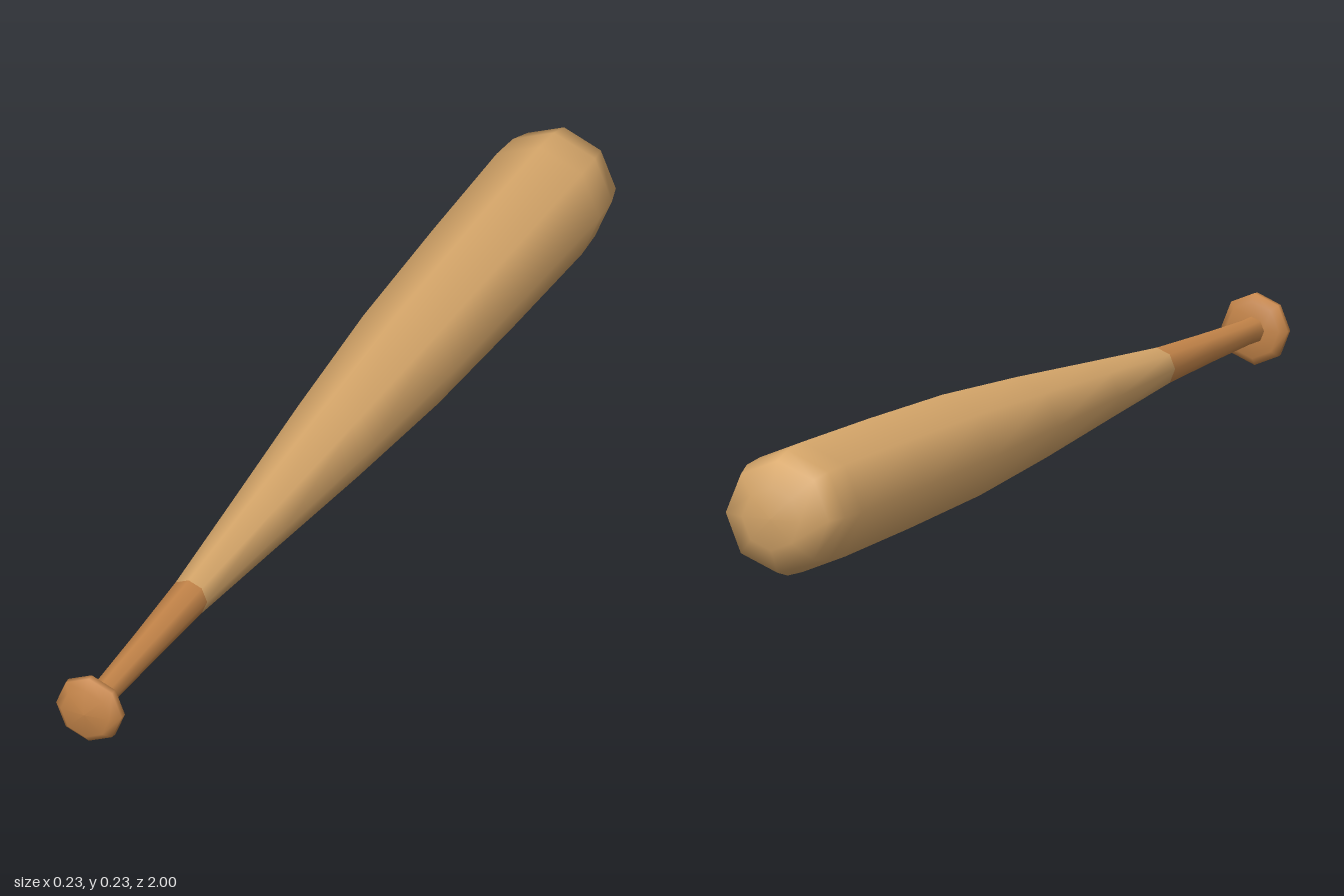
import * as THREE from 'three';

const SIDES = 8;
const AXIS_HEIGHT = 0.114;

// Turned part: profile of [z, radius] pairs running from back to front
function turned(name, profile, material) {
  const points = profile.map(([z, r]) => new THREE.Vector2(r, z));
  const geometry = new THREE.LatheGeometry(points, SIDES);
  geometry.rotateX(Math.PI / 2);
  const mesh = new THREE.Mesh(geometry, material);
  mesh.name = name;
  mesh.position.y = AXIS_HEIGHT;
  return mesh;
}

export function createModel() {
  const paleWood = new THREE.MeshStandardMaterial({ color: 0xd8a86b });
  paleWood.name = 'paleWood';
  const darkWood = new THREE.MeshStandardMaterial({ color: 0xc6864a });
  darkWood.name = 'darkWood';

  const group = new THREE.Group();
  group.name = 'bat';

  // Barrel with rounded end, tapering towards the grip
  group.add(turned('barrel', [
    [-1, 0], [-0.998, 0.055], [-0.972, 0.098], [-0.93, 0.11], [-0.87, 0.114],
    [-0.6, 0.109], [-0.3, 0.1], [0, 0.08], [0.3, 0.056], [0.57, 0.035],
  ], paleWood));

  // Slim grip
  group.add(turned('grip', [
    [0.57, 0.035], [0.75, 0.028], [0.92, 0.023], [0.96, 0.024],
  ], darkWood));

  // Knob at the end of the grip
  group.add(turned('knob', [
    [0.955, 0.022], [0.958, 0.05], [0.968, 0.063], [0.98, 0.062],
    [0.996, 0.046], [1, 0],
  ], darkWood));

  return group;
}
